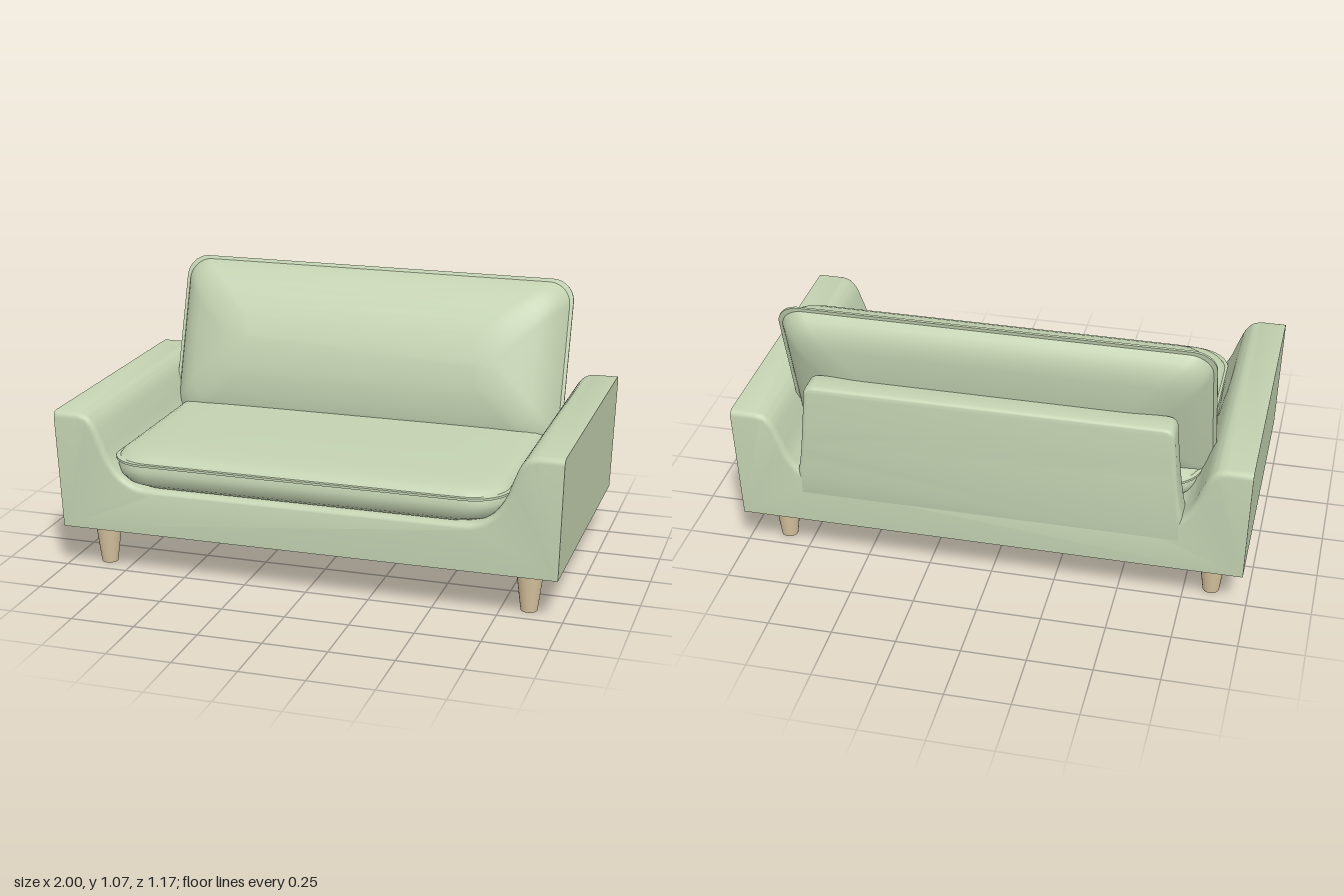
import * as THREE from 'three';
import { toCreasedNormals } from 'three/addons/utils/BufferGeometryUtils.js';

const fabric = new THREE.MeshStandardMaterial({ color: 0xc3d2b1 });
fabric.name = 'sage fabric';
const wood = new THREE.MeshStandardMaterial({ color: 0xd8c4a0 });
wood.name = 'pale wood';

function addMesh(parent, name, geometry, material) {
  const mesh = new THREE.Mesh(geometry, material);
  mesh.name = name;
  parent.add(mesh);
  return mesh;
}

// Counterclockwise rounded rectangle, always with the same number of points
function roundedLoop(w, h, r, seg = 10) {
  const pts = [];
  const corners = [[1, 1], [-1, 1], [-1, -1], [1, -1]];
  corners.forEach(([sx, sy], q) => {
    for (let i = 0; i <= seg; i++) {
      const a = (q + i / seg) * Math.PI / 2;
      pts.push([sx * (w - r) + r * Math.cos(a), sy * (h - r) + r * Math.sin(a)]);
    }
  });
  return pts;
}

// Cushion lofted through rounded rectangles; rings hold [inset, height], front first
function cushion(w, h, r, rings) {
  const pos = [], idx = [];
  let n = 0;
  for (const [inset, z] of rings) {
    const hw = w - inset, hh = h - inset;
    const loop = roundedLoop(hw, hh, Math.min(r, hh * 0.95));
    n = loop.length;
    loop.forEach(([x, y]) => pos.push(x, y, z));
  }
  for (let k = 0; k < rings.length - 1; k++) {
    for (let j = 0; j < n; j++) {
      const a = k * n + j, b = k * n + (j + 1) % n;
      idx.push(a, a + n, b, b, a + n, b + n);
    }
  }
  // Close both faces
  const last = (rings.length - 1) * n, c = rings.length * n;
  pos.push(0, 0, rings[0][1], 0, 0, rings[rings.length - 1][1]);
  for (let j = 0; j < n; j++) {
    const m = (j + 1) % n;
    idx.push(c, j, m, c + 1, last + m, last + j);
  }
  const g = new THREE.BufferGeometry();
  g.setAttribute('position', new THREE.Float32BufferAttribute(pos, 3));
  g.setIndex(idx);
  return toCreasedNormals(g, 0.8);
}

// Front and back lean in towards the bottom
const lean = (y) => (0.655 - y) / 0.475;

// Base and both arms in one sweep, softened along the upper edge only
function baseGeometry() {
  const half = [[0.9, 0.655], [0.868, 0.645], [0.84, 0.615], [0.815, 0.555],
    [0.785, 0.475], [0.74, 0.41], [0.68, 0.375], [0.6, 0.365]];
  const right = new THREE.CatmullRomCurve3(half.map(([x, y]) => new THREE.Vector3(x, y, 0)))
    .getPoints(28).map((p) => new THREE.Vector2(p.x, p.y));
  const left = right.map((p) => new THREE.Vector2(-p.x, p.y)).reverse();
  const shape = new THREE.Shape([
    new THREE.Vector2(-1, 0.18), new THREE.Vector2(1, 0.18), new THREE.Vector2(1, 0.655),
    ...right, ...left, new THREE.Vector2(-1, 0.655),
  ]);
  const bevel = 0.025;
  const g = new THREE.ExtrudeGeometry(shape, {
    depth: 1.15 - 2 * bevel, bevelEnabled: true, bevelSize: bevel,
    bevelThickness: bevel, bevelOffset: -bevel, bevelSegments: 5,
  });
  g.translate(0, 0, -0.575 + bevel);
  const p = g.attributes.position;
  for (let i = 0; i < p.count; i++) {
    let x = p.getX(i), y = p.getY(i);
    if (y < 0.25) y = 0.18;
    if (Math.abs(x) > 0.95) x = Math.sign(x);
    const t = lean(y);
    p.setXYZ(i, x * (1 - 0.015 * t), y, p.getZ(i) * (1 - 0.035 * t) - 0.01);
  }
  return toCreasedNormals(g, 0.6);
}

// Upright panel behind the back cushion
function panelGeometry() {
  const s = new THREE.Shape();
  s.moveTo(-0.75, 0.3);
  s.lineTo(0.75, 0.3);
  s.lineTo(0.745, 0.42);
  s.quadraticCurveTo(0.725, 0.5, 0.705, 0.765);
  s.quadraticCurveTo(0.703, 0.802, 0.66, 0.802);
  s.lineTo(-0.66, 0.802);
  s.quadraticCurveTo(-0.703, 0.802, -0.705, 0.765);
  s.quadraticCurveTo(-0.725, 0.5, -0.745, 0.42);
  const bevel = 0.018;
  const g = new THREE.ExtrudeGeometry(s, {
    depth: 0.11 - 2 * bevel, bevelEnabled: true, bevelSize: bevel,
    bevelThickness: bevel, bevelOffset: -bevel, bevelSegments: 5, curveSegments: 10,
  });
  g.translate(0, 0, bevel);
  const p = g.attributes.position;
  for (let i = 0; i < p.count; i++) {
    const t = Math.max(lean(p.getY(i)), 0.2);
    p.setZ(i, p.getZ(i) - 0.0105 - 0.575 * (1 - 0.035 * t));
  }
  return toCreasedNormals(g, 0.6);
}

export function createModel() {
  const sofa = new THREE.Group();
  sofa.name = 'sofa';

  addMesh(sofa, 'baseAndArms', baseGeometry(), fabric);
  addMesh(sofa, 'backPanel', panelGeometry(), fabric);

  // Seat cushion with a thin seam around its rim
  const seat = cushion(0.785, 0.5175, 0.15, [
    [0.4, 0.514], [0.2, 0.512], [0.08, 0.508], [0.04, 0.502], [0.02, 0.493], [0.012, 0.48],
    [0, 0.479], [0, 0.47], [0.012, 0.469], [0.006, 0.445], [0.012, 0.415], [0.03, 0.388],
    [0.06, 0.37], [0.11, 0.36],
  ]);
  const seatMesh = addMesh(sofa, 'seatCushion', seat, fabric);
  seatMesh.rotation.x = -Math.PI / 2;
  seatMesh.position.z = 0.0675;

  // Plump back cushion, leaning back
  const back = cushion(0.83, 0.36, 0.09, [
    [0.33, 0.17], [0.25, 0.16], [0.2, 0.147], [0.158, 0.131], [0.11, 0.112], [0.073, 0.089],
    [0.045, 0.06], [0.024, 0.026], [0.014, 0.006], [0, 0.004], [0, -0.004], [0.014, -0.006],
    [0.03, -0.035], [0.054, -0.06], [0.085, -0.078], [0.125, -0.092], [0.25, -0.118],
    [0.33, -0.125],
  ]);
  const backMesh = addMesh(sofa, 'backCushion', back, fabric);
  backMesh.rotation.x = -0.322;
  backMesh.position.set(0, 0.73, -0.346);

  // Tapered legs
  const leg = new THREE.CylinderGeometry(0.055, 0.032, 0.18, 24);
  for (const x of [-0.855, 0.855]) {
    for (const z of [0.41, -0.42]) {
      const name = (z > 0 ? 'front' : 'back') + (x > 0 ? 'Left' : 'Right') + 'Leg';
      addMesh(sofa, name, leg, wood).position.set(x, 0.09, z);
    }
  }
  return sofa;
}
